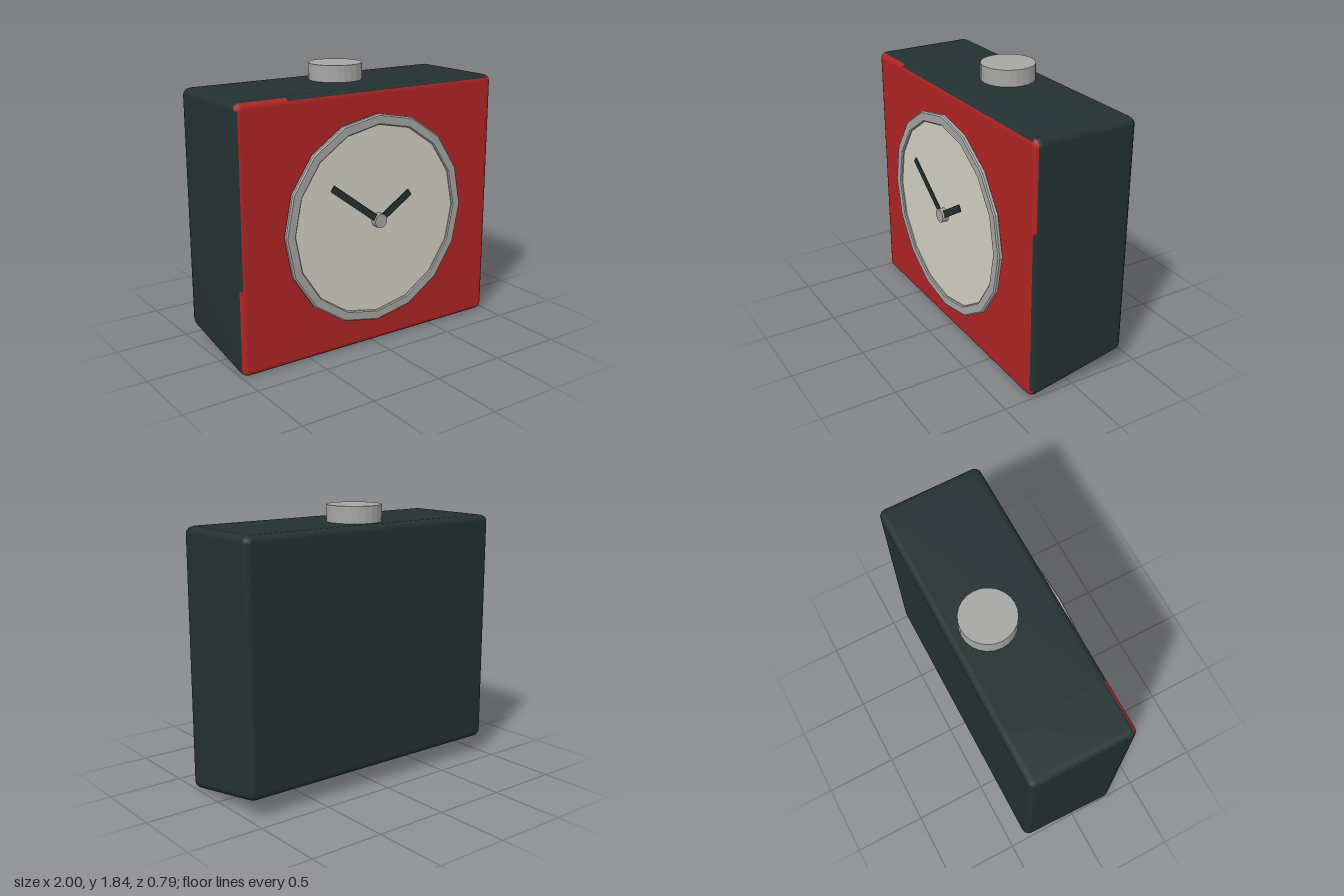
import * as THREE from 'three';

const mat = (name, color) => {
  const m = new THREE.MeshStandardMaterial({ color });
  m.name = name;
  return m;
};

// Rounded case lofted front to back, with a sloping underside
function caseGeometry() {
  const H = 1.73, zf = 0.315, zb = -0.393, r = 0.045, c = 0.05;
  const outline = (d, z) => {
    const pts = [];
    const corner = (x, y, k) => {
      for (let s = 0; s <= 3; s++) {
        const a = (k + s / 3) * Math.PI / 2;
        pts.push([x + (c - d) * Math.cos(a), y + (c - d) * Math.sin(a)]);
      }
    };
    corner(1 - c, H - c, 0);
    pts.push([-0.64, H - d]);
    corner(c - 1, H - c, 1);
    pts.push([d - 1, 0.58]);
    corner(c - 1, c, 2);
    corner(1 - c, c, 3);
    pts.push([1 - d, 1.15]);
    return pts.map(([x, y]) => [x, y + 0.185 * (0.28 - z) * (1 - y / H), z]);
  };
  const rings = [];
  for (let s = 3; s >= 0; s--) {
    const a = s * Math.PI / 6;
    rings.push(outline(r * (1 - Math.cos(a)), zb + r * (1 - Math.sin(a))));
  }
  for (let s = 0; s <= 3; s++) {
    const a = s * Math.PI / 6;
    rings.push(outline(r * (1 - Math.cos(a)), zf - r * (1 - Math.sin(a))));
  }
  const n = rings[0].length, last = rings.length - 1;
  const pos = rings.flat(2);
  const back = rings.length * n, front = back + 1;
  pos.push(0, 0.9, zb, 0, 0.9, zf);

  // Red reaches over the front edge except along three stretches
  const darkEdge = new Set([3, 8, 17]);
  const dark = [], red = [];
  for (let j = 0; j < n; j++) {
    const k = (j + 1) % n;
    for (let i = 0; i < last; i++) {
      const isRed = i === last - 1 || (i === last - 2 && !darkEdge.has(j));
      const a = i * n + j, b = i * n + k;
      (isRed ? red : dark).push(a, b, b + n, a, b + n, a + n);
    }
    dark.push(back, k, j);
    red.push(front, last * n + j, last * n + k);
  }
  const g = new THREE.BufferGeometry();
  g.setAttribute('position', new THREE.Float32BufferAttribute(pos, 3));
  g.setIndex([...dark, ...red]);
  g.addGroup(0, dark.length, 0);
  g.addGroup(dark.length, red.length, 1);
  g.computeVertexNormals();
  return g;
}

export function createModel() {
  const clock = new THREE.Group();
  clock.name = 'alarmClock';
  const dark = mat('darkCase', 0x233031);
  const red = mat('redFront', 0xb02424);
  const metal = mat('greyMetal', 0xa6a7a4);
  metal.flatShading = true;
  const cream = mat('creamDial', 0xd4d0c4);
  const cy = 0.87;

  const add = (name, geometry, material, x, y, z) => {
    const m = new THREE.Mesh(geometry, material);
    m.name = name;
    m.position.set(x, y, z);
    clock.add(m);
    return m;
  };

  add('case', caseGeometry(), [dark, red], 0, 0, 0);

  // Snooze button on top
  add('button', new THREE.CylinderGeometry(0.18, 0.18, 0.12, 24), metal, 0, 1.78, -0.135);

  // Dial and its sixteen-sided rim
  const rim = [
    [0.63, -0.017], [0.69, -0.017], [0.7, -0.009], [0.7, 0.009],
    [0.69, 0.017], [0.637, 0.017], [0.63, 0.01], [0.63, -0.017],
  ].map(([x, y]) => new THREE.Vector2(x, y));
  add('rim', new THREE.LatheGeometry(rim, 16), metal, 0, cy, 0.348).rotation.x = Math.PI / 2;
  add('dial', new THREE.CylinderGeometry(0.632, 0.632, 0.01, 16), cream, 0, cy, 0.345).rotation.x = Math.PI / 2;

  // Hands run from the centre to their tips
  const hand = (name, tx, ty, width) => {
    const len = Math.hypot(tx, ty);
    const g = new THREE.BoxGeometry(len, width, 0.008).translate(len / 2, 0, 0);
    add(name, g, dark, 0, cy, 0.374).rotation.z = Math.atan2(ty, tx);
  };
  hand('minuteHand', -0.365, 0.27, 0.045);
  hand('hourHand', 0.245, 0.155, 0.048);
  add('hub', new THREE.CylinderGeometry(0.047, 0.047, 0.045, 16), metal, 0, cy, 0.3705).rotation.x = Math.PI / 2;

  return clock;
}
